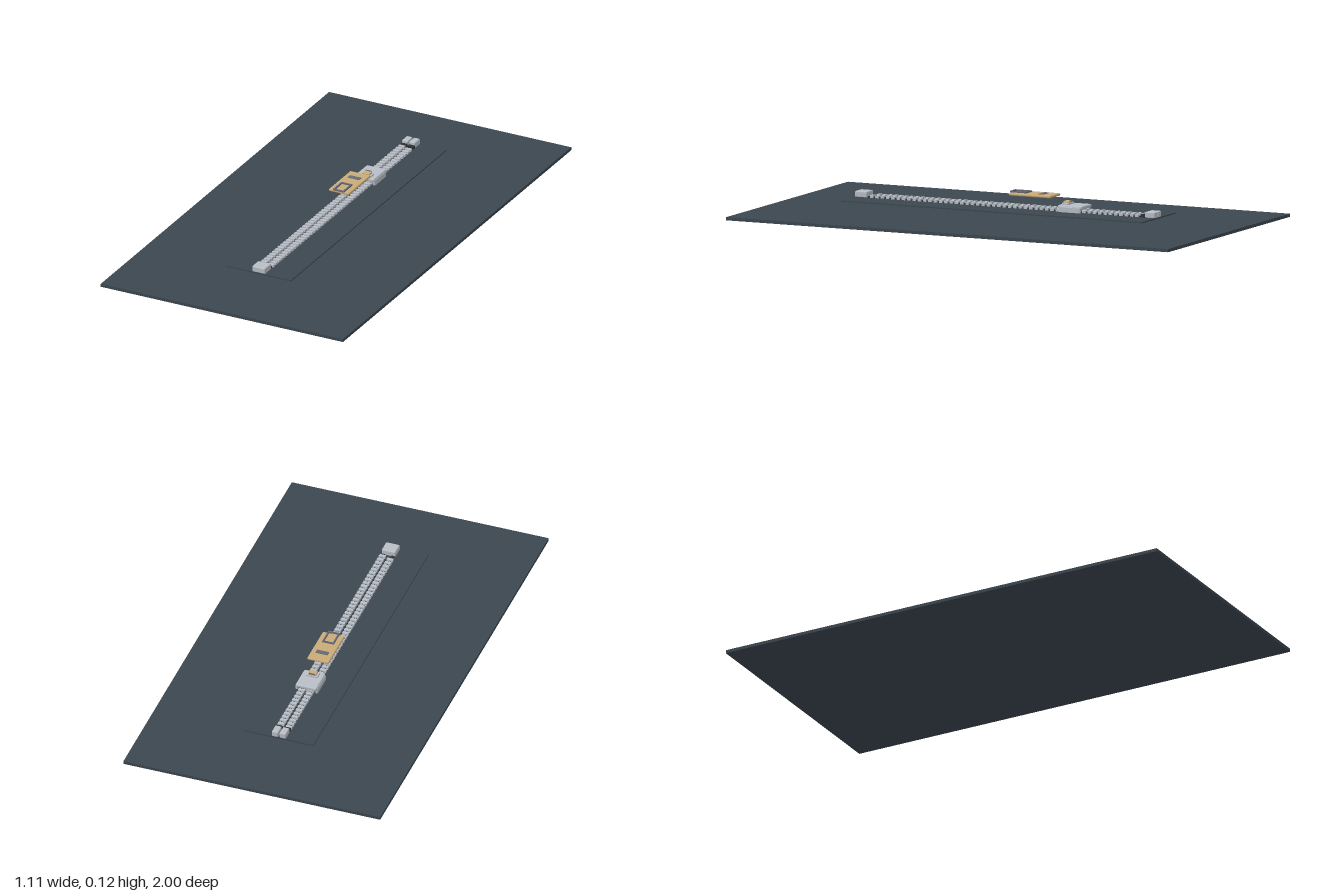
import * as THREE from 'three';
import { RoundedBoxGeometry } from 'three/addons/geometries/RoundedBoxGeometry.js';

const mat = (name, color) => {
  const m = new THREE.MeshStandardMaterial({ color });
  m.name = name;
  return m;
};

export function createModel() {
  const model = new THREE.Group();
  model.name = 'zipperOnBoard';
  const slate = mat('slate', 0x3c474f);
  const silver = mat('silver', 0xb9bfc7);
  const brass = mat('brass', 0xc9ab78);
  const dark = mat('dark', 0x2b3036);
  const greyBlue = mat('greyBlue', 0x666b78);

  const add = (parent, name, geometry, material, x, y, z) => {
    const mesh = new THREE.Mesh(geometry, material);
    mesh.name = name;
    mesh.position.set(x, y, z);
    parent.add(mesh);
    return mesh;
  };
  const box = (w, h, d) => new THREE.BoxGeometry(w, h, d);
  const round = (w, h, d, r) => new RoundedBoxGeometry(w, h, d, 2, r);
  const group = (name) => {
    const g = new THREE.Group();
    g.name = name;
    model.add(g);
    return g;
  };

  // Base board
  add(model, 'board', box(1.106, 0.013, 2), slate, 0, 0.0065, 0);

  // Fabric tape in two halves, each with a raised cord
  const tape = group('tape');
  for (const s of [-1, 1]) {
    add(tape, 'tapeHalf', box(0.149, 0.005, 1.364), slate, s * 0.0755, 0.047, 0);
    add(tape, 'cord', box(0.012, 0.005, 1.25), dark, s * 0.02, 0.051, 0);
  }

  // Interlocking teeth, staggered by half a pitch
  const teeth = group('teeth');
  const pitch = 0.024, count = 51;
  const toothGeometry = box(0.027, 0.011, 0.014);
  for (const s of [-1, 1]) {
    for (let i = 0; i < count; i++) {
      const z = -0.61 + i * pitch + (s > 0 ? pitch / 2 : 0);
      add(teeth, 'tooth', toothGeometry, silver, s * 0.0185, 0.0545, z);
    }
  }

  // End stops: one joined block in front, a split pair at the back
  const stops = group('endStops');
  add(stops, 'bottomStop', round(0.06, 0.026, 0.056, 0.005), silver, 0, 0.06, 0.651);
  for (const s of [-1, 1]) {
    add(stops, 'topStop', round(0.028, 0.026, 0.046, 0.005), silver, s * 0.0165, 0.06, -0.657);
    add(stops, 'stopFoot', box(0.026, 0.012, 0.018), dark, s * 0.0165, 0.055, -0.626);
  }

  // Slider: top and bottom plates, side flanges and inner wedge
  const slider = group('slider');
  add(slider, 'sliderTop', round(0.09, 0.014, 0.11, 0.005), silver, 0, 0.071, -0.302);
  add(slider, 'sliderBottom', round(0.082, 0.01, 0.1, 0.004), silver, 0, 0.04, -0.295);
  for (const s of [-1, 1]) {
    add(slider, 'flange', round(0.01, 0.026, 0.1, 0.004), silver, s * 0.043, 0.06, -0.3);
  }
  add(slider, 'wedge', box(0.018, 0.024, 0.04), silver, 0, 0.056, -0.33);

  // Brass bridge on the slider
  add(slider, 'bridgeBase', round(0.05, 0.008, 0.032, 0.003), silver, 0, 0.081, -0.272);
  add(slider, 'bridge', round(0.034, 0.009, 0.028, 0.003), brass, 0, 0.087, -0.272);
  add(slider, 'bridgeBar', box(0.026, 0.003, 0.006), greyBlue, 0, 0.0915, -0.285);

  // Pull tab
  const pull = group('pullTab');
  add(pull, 'pullPlate', round(0.094, 0.011, 0.19, 0.005), brass, 0, 0.107, -0.12);
  add(pull, 'pullInlay', box(0.052, 0.003, 0.02), greyBlue, 0, 0.1135, -0.162);

  // Small rectangular frame near the free end of the tab
  const frame = group('pullFrame');
  for (const s of [-1, 1]) {
    add(frame, 'frameSide', box(0.006, 0.006, 0.075), greyBlue, s * 0.022, 0.1155, -0.058);
  }
  for (const z of [-0.0925, -0.0235]) {
    add(frame, 'frameEnd', box(0.05, 0.006, 0.006), greyBlue, 0, 0.1155, z);
  }

  return model;
}
